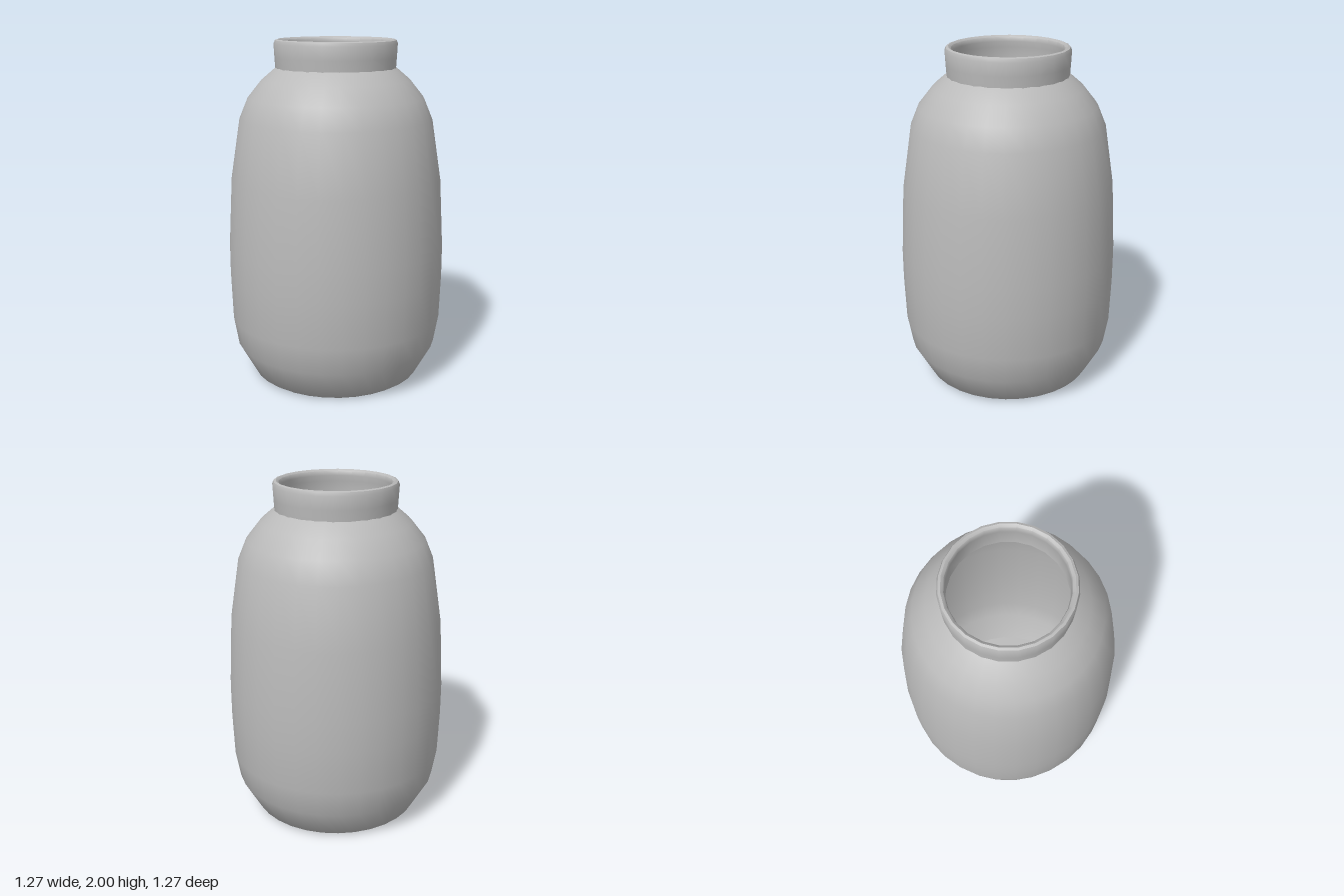
import * as THREE from 'three';
import { toCreasedNormals } from 'three/addons/utils/BufferGeometryUtils.js';

export function createModel() {
  const jar = new THREE.Group();
  jar.name = 'jar';
  const grey = new THREE.MeshStandardMaterial({ color: 0xbababa });
  grey.name = 'plain grey';

  // Turn a [radius, height] profile into a named mesh; edges sharper than the crease stay hard
  function turned(name, profile, sides, crease) {
    const points = profile.map(([r, y]) => new THREE.Vector2(r, y));
    const geometry = toCreasedNormals(new THREE.LatheGeometry(points, sides), crease);
    const mesh = new THREE.Mesh(geometry, grey);
    mesh.name = name;
    jar.add(mesh);
  }

  // Outer wall from the flat base up to the shoulder
  turned('body', [
    [0, 0], [0.47, 0], [0.5, 0.02], [0.6, 0.2], [0.628, 0.36], [0.637, 0.62], [0.637, 0.8],
    [0.615, 1.2], [0.56, 1.55], [0.51, 1.67], [0.43, 1.77], [0.36, 1.83], [0.34, 1.845],
  ], 32, 0.75);

  // Inner wall, running down from the neck to the floor
  turned('inside', [
    [0.32, 1.83], [0.41, 1.75], [0.49, 1.65], [0.54, 1.54], [0.593, 1.2], [0.615, 0.8],
    [0.615, 0.62], [0.606, 0.37], [0.58, 0.22], [0.48, 0.04], [0, 0.03],
  ], 32, 0.75);

  // Neck collar with a rounded rim and an inner step
  turned('neck', [
    [0.348, 1.835], [0.352, 1.9], [0.356, 1.975], [0.348, 1.995], [0.335, 2],
    [0.32, 1.99], [0.314, 1.965], [0.326, 1.93], [0.32, 1.83],
  ], 24, 0.75);

  return jar;
}
